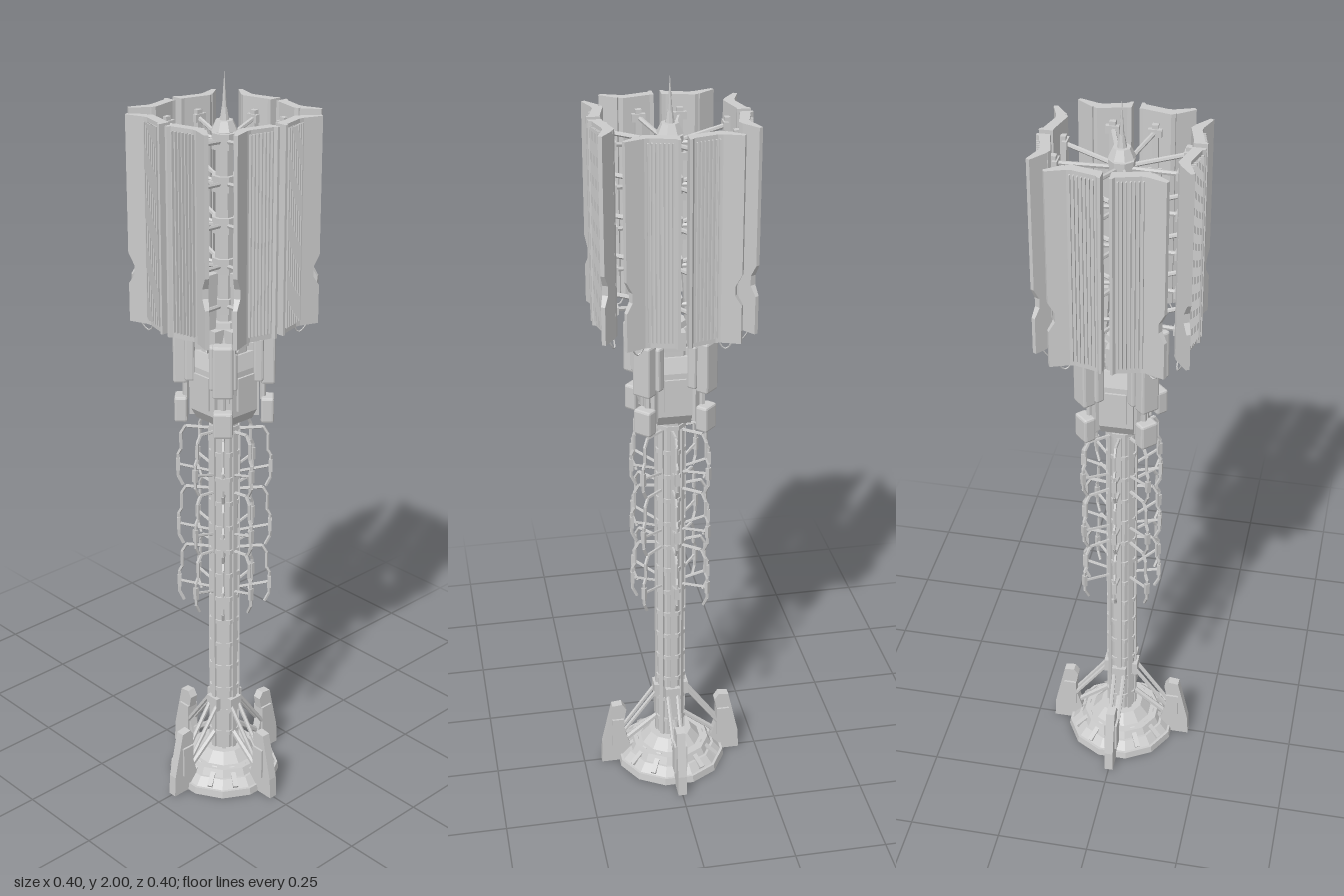
import * as THREE from 'three';
import { RoundedBoxGeometry } from 'three/addons/geometries/RoundedBoxGeometry.js';

const mat = new THREE.MeshStandardMaterial({ color: 0xcccccc, flatShading: true });
const V = (x, y, z) => new THREE.Vector3(x, y, z);

function add(parent, name, geo, x = 0, y = 0, z = 0) {
  const m = new THREE.Mesh(geo, mat);
  m.name = name;
  m.position.set(x, y, z);
  parent.add(m);
  return m;
}
const box = (p, name, w, h, d, x, y, z) => add(p, name, new THREE.BoxGeometry(w, h, d), x, y, z);
const soft = (p, name, w, h, d, x, y, z) => add(p, name, new RoundedBoxGeometry(w, h, d, 1, 0.006), x, y, z);

// Round bar between two points
function bar(p, name, a, b, r, sides = 6) {
  const d = b.clone().sub(a);
  const m = add(p, name, new THREE.CylinderGeometry(r, r, d.length(), sides));
  m.position.copy(a).add(b).multiplyScalar(0.5);
  m.quaternion.setFromUnitVectors(V(0, 1, 0), d.normalize());
  return m;
}

// Octagonal or other faceted drum with flats facing the axes
function drum(p, name, r0, r1, y0, y1, sides = 8) {
  return add(p, name, new THREE.CylinderGeometry(r1, r0, y1 - y0, sides, 1, false, Math.PI / sides), 0, (y0 + y1) / 2, 0);
}

// Repeat a part around the mast; local +z points outwards
function ring(root, name, n, start, build) {
  for (let i = 0; i < n; i++) {
    const g = new THREE.Group();
    g.name = name;
    g.rotation.y = start + (i / n) * Math.PI * 2;
    build(g, i);
    root.add(g);
  }
}

const shapeOf = pts => new THREE.Shape(pts.map(([x, y]) => new THREE.Vector2(x, y)));
const extrude = (pts, depth) => new THREE.ExtrudeGeometry(shapeOf(pts), { depth, bevelEnabled: false });

// One large panel beside the gap; s is +1 or -1 for its side
function panel(g, s) {
  const y0 = 1.375, y1 = 1.9;
  const section = [[0.01, 0.2], [0.017, 0.2], [0.022, 0.192], [0.08, 0.176], [0.102, 0.178],
    [0.1, 0.153], [0.09, 0.148], [0.02, 0.166], [0.01, 0.166]].map(([x, z]) => [x * s, z]);
  add(g, 'panelBody', extrude(section, y1 - y0).rotateX(Math.PI / 2), 0, y1, 0);
  // Cooling fins on the outer face
  for (let i = 0; i < 7; i++) {
    const x = 0.028 + i * 0.0095;
    box(g, 'panelFin', 0.0035, 0.5, 0.015, x * s, 1.64, 0.196 - x * 0.23);
  }
  // Flared wing with a notched edge, thinner towards the tip
  const L = 0.052, h = y1 - y0;
  const wing = extrude([[0, 0], [L, 0], [L, 0.1], [L - 0.016, 0.125], [L - 0.016, 0.15], [L, 0.18], [L, h], [0, h]], 0.026);
  const pos = wing.attributes.position;
  for (let i = 0; i < pos.count; i++) {
    const t = pos.getX(i) / L;
    pos.setZ(i, (pos.getZ(i) - 0.013) * (1 - 0.6 * t));
  }
  if (s < 0) wing.rotateY(Math.PI).translate(0, 0, 0);
  wing.rotateY(-s * 0.5);
  wing.computeVertexNormals();
  add(g, 'panelWing', wing, 0.097 * s, y0, 0.165);
  // Rail behind the panel and arms to the core
  box(g, 'panelRail', 0.016, 0.46, 0.014, 0.052 * s, 1.64, 0.151);
  for (let k = 0; k < 5; k++) {
    const y = 1.43 + k * 0.105;
    bar(g, 'panelArm', V(0.008 * s, y - 0.02, 0.02), V(0.052 * s, y, 0.152), 0.006);
    box(g, 'armFoot', 0.034, 0.02, 0.012, 0.052 * s, y, 0.146);
  }
  // Loose cable under the panel
  const cable = new THREE.QuadraticBezierCurve3(V(0.09 * s, 1.38, 0.16), V(0.11 * s, 1.32, 0.15), V(0.125 * s, 1.38, 0.175));
  add(g, 'cable', new THREE.TubeGeometry(cable, 8, 0.002, 5));
}

// Three tiers of bent hanging rods with brackets
function hangingRods(g, r) {
  for (let k = 0; k < 3; k++) {
    const y = 1.065 - k * 0.175;
    const pts = [V(0, y, 0.03), V(0, y + 0.006, r - 0.02), V(0, y - 0.015, r - 0.008), V(0, y - 0.06, r - 0.008),
      V(0, y - 0.075, r), V(0, y - 0.14, r), V(0, y - 0.165, r - 0.012)];
    for (let i = 1; i < pts.length; i++) bar(g, 'hangingRod', pts[i - 1], pts[i], 0.0045, 5);
    bar(g, 'rodBrace', V(0, y - 0.125, 0.03), V(0, y - 0.105, r), 0.004, 5);
    box(g, 'rodClamp', 0.012, 0.035, 0.01, 0, y - 0.105, r);
  }
}

// Buttress foot with struts
function foot(g) {
  const outline = [[0.2, 0], [0.197, 0.06], [0.168, 0.19], [0.14, 0.193], [0.128, 0.175], [0.138, 0.12], [0.118, 0.05], [0.118, 0]];
  const geo = extrude(outline, 0.024).translate(0, 0, -0.012).rotateY(-Math.PI / 2);
  add(g, 'footBlade', geo);
  box(g, 'footCheek', 0.036, 0.09, 0.035, 0, 0.1, 0.152);
  for (const s of [-1, 1]) bar(g, 'footStrut', V(0.012 * s, 0.1, 0.137), V(0.014 * s, 0.24, 0.036), 0.006);
  bar(g, 'lowerStrut', V(0, 0.06, 0.135), V(0, 0.14, 0.036), 0.008);
  box(g, 'strutAnchor', 0.04, 0.04, 0.014, 0, 0.235, 0.041);
}

export function createModel() {
  const root = new THREE.Group();
  root.name = 'tower';

  // Stepped base
  drum(root, 'baseRim', 0.155, 0.152, 0, 0.02, 12);
  drum(root, 'baseSlope', 0.145, 0.125, 0.02, 0.042, 12);
  drum(root, 'baseStep', 0.118, 0.108, 0.042, 0.062, 12);
  drum(root, 'baseCollar', 0.085, 0.06, 0.062, 0.09, 12);
  ring(root, 'baseRib', 12, 0, g => {
    const rib = box(g, 'baseRibBar', 0.014, 0.012, 0.06, 0, 0.042, 0.115);
    rib.rotation.x = 0.6;
  });
  ring(root, 'foot', 4, 0, foot);

  // Banded mast
  drum(root, 'mast', 0.039, 0.039, 0.06, 1.32);
  for (let y = 0.14; y < 1.09; y += 0.072) drum(root, 'mastBand', 0.043, 0.043, y - 0.006, y + 0.006);
  ring(root, 'mastSpine', 8, 0, g => box(g, 'spine', 0.012, 0.98, 0.01, 0, 0.58, 0.037));

  // Hanging rods, longer on the diagonals
  ring(root, 'rodSet', 8, 0, (g, i) => hangingRods(g, i % 2 ? 0.122 : 0.104));

  // Equipment cluster below the panels
  drum(root, 'clusterCore', 0.05, 0.065, 1.1, 1.14);
  drum(root, 'clusterDrum', 0.065, 0.062, 1.14, 1.32);
  drum(root, 'clusterCap', 0.05, 0.04, 1.32, 1.37);
  ring(root, 'equipmentBay', 4, 0, g => {
    const side = [[0.03, 1.1], [0.058, 1.1], [0.076, 1.13], [0.076, 1.25], [0.064, 1.29], [0.03, 1.29]];
    add(g, 'bayHousing', extrude(side, 0.088).translate(0, 0, -0.044).rotateY(-Math.PI / 2));
    box(g, 'bayCover', 0.056, 0.09, 0.008, 0, 1.19, 0.078);
    box(g, 'bayNeck', 0.06, 0.05, 0.03, 0, 1.33, 0.045);
    // Upright block seen in the gap between panels
    add(g, 'gapBlock', extrude([[0.04, 1.34], [0.085, 1.37], [0.085, 1.46], [0.06, 1.5], [0.03, 1.5]], 0.02)
      .translate(0, 0, -0.01).rotateY(-Math.PI / 2));
  });
  ring(root, 'equipmentPod', 4, Math.PI / 4, g => {
    soft(g, 'upperPod', 0.052, 0.14, 0.036, 0, 1.27, 0.113);
    soft(g, 'upperPodBack', 0.072, 0.12, 0.026, 0, 1.27, 0.088);
    soft(g, 'lowerPod', 0.05, 0.07, 0.034, 0, 1.125, 0.112);
    box(g, 'podMount', 0.03, 0.2, 0.04, 0, 1.21, 0.07);
    bar(g, 'podLink', V(0, 1.15, 0.1), V(0, 1.22, 0.1), 0.008);
  });

  // Inner core with collars
  drum(root, 'core', 0.026, 0.022, 1.36, 1.87);
  for (let k = 0; k < 5; k++) drum(root, 'coreCollar', 0.033, 0.033, 1.39 + k * 0.105, 1.43 + k * 0.105);

  // Panels in four facing pairs
  ring(root, 'panelPair', 4, 0, g => [-1, 1].forEach(s => panel(g, s)));

  // Top cap and antenna
  drum(root, 'topCap', 0.034, 0.022, 1.855, 1.88);
  drum(root, 'antennaBase', 0.012, 0.007, 1.88, 1.91);
  add(root, 'antenna', new THREE.ConeGeometry(0.006, 0.09, 8), 0, 1.955, 0);
  return root;
}
